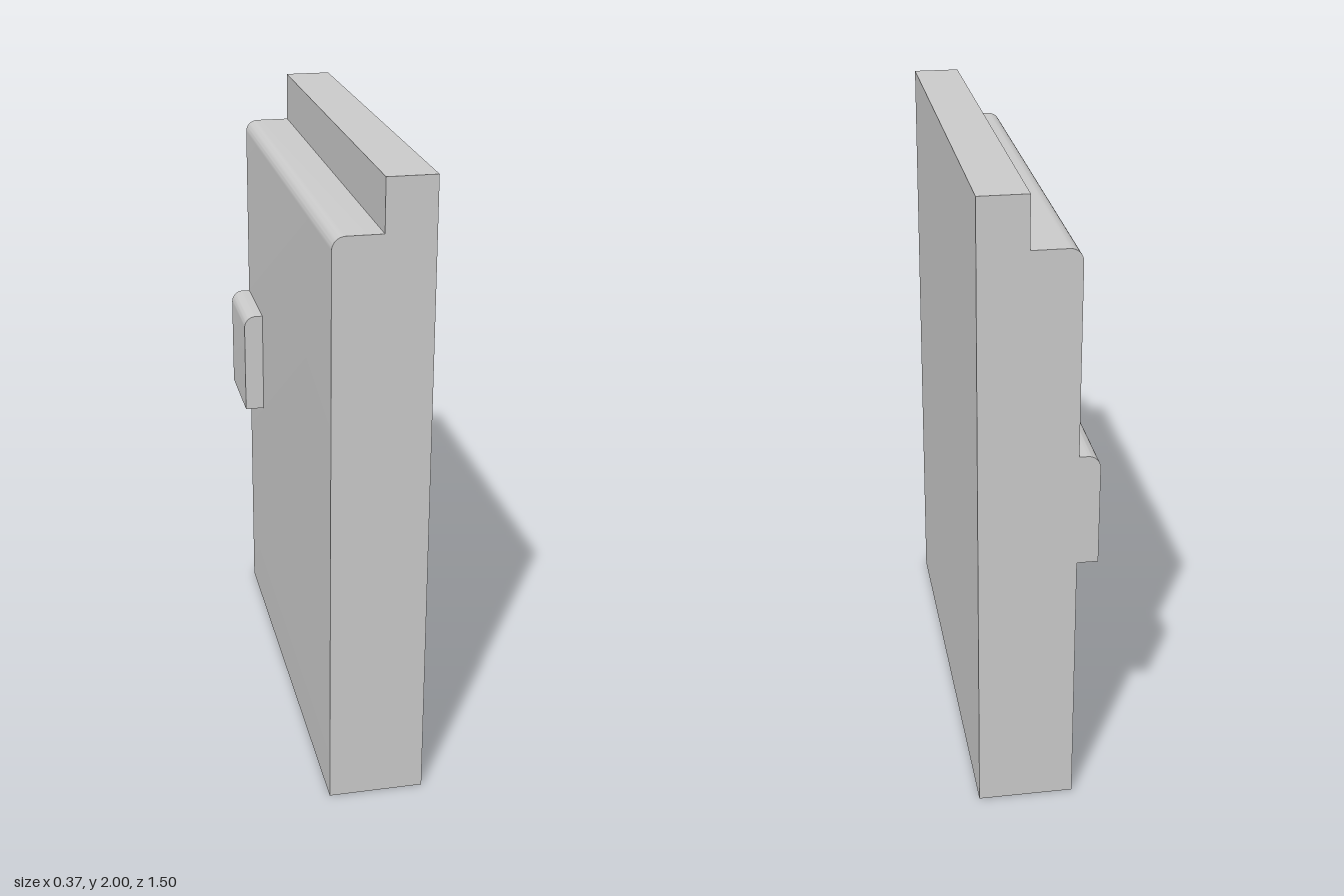
import * as THREE from 'three';
import { toCreasedNormals } from 'three/addons/utils/BufferGeometryUtils.js';

const material = new THREE.MeshStandardMaterial({ color: 0xcccccc });
const ROUND = 0.04;
const BACK = -0.75;

// Extrudes a side profile along z; its upper corner on the -x side is rounded.
function profilePart(name, left, bottom, top, rest, depth) {
  const shape = new THREE.Shape();
  shape.moveTo(left, bottom);
  shape.lineTo(left, top - ROUND);
  shape.absarc(left + ROUND, top - ROUND, ROUND, Math.PI, Math.PI / 2, true);
  for (const [x, y] of rest) shape.lineTo(x, y);
  shape.closePath();
  const geometry = new THREE.ExtrudeGeometry(shape, { depth, bevelEnabled: false, curveSegments: 6 });
  const mesh = new THREE.Mesh(toCreasedNormals(geometry, Math.PI / 6), material);
  mesh.name = name;
  mesh.position.z = BACK;
  return mesh;
}

export function createModel() {
  const group = new THREE.Group();
  group.name = 'steppedPanel';

  // Upright slab with a raised lip along the top of its +x half
  group.add(profilePart('panel', -0.12, 0, 1.84,
    [[0.03, 1.84], [0.03, 2], [0.18, 2], [0.18, 0]], 1.5));

  // Small grip on the -x face, flush with the back edge
  group.add(profilePart('grip', -0.185, 0.845, 1.2,
    [[-0.12, 1.2], [-0.12, 0.845]], 0.3));

  return group;
}
